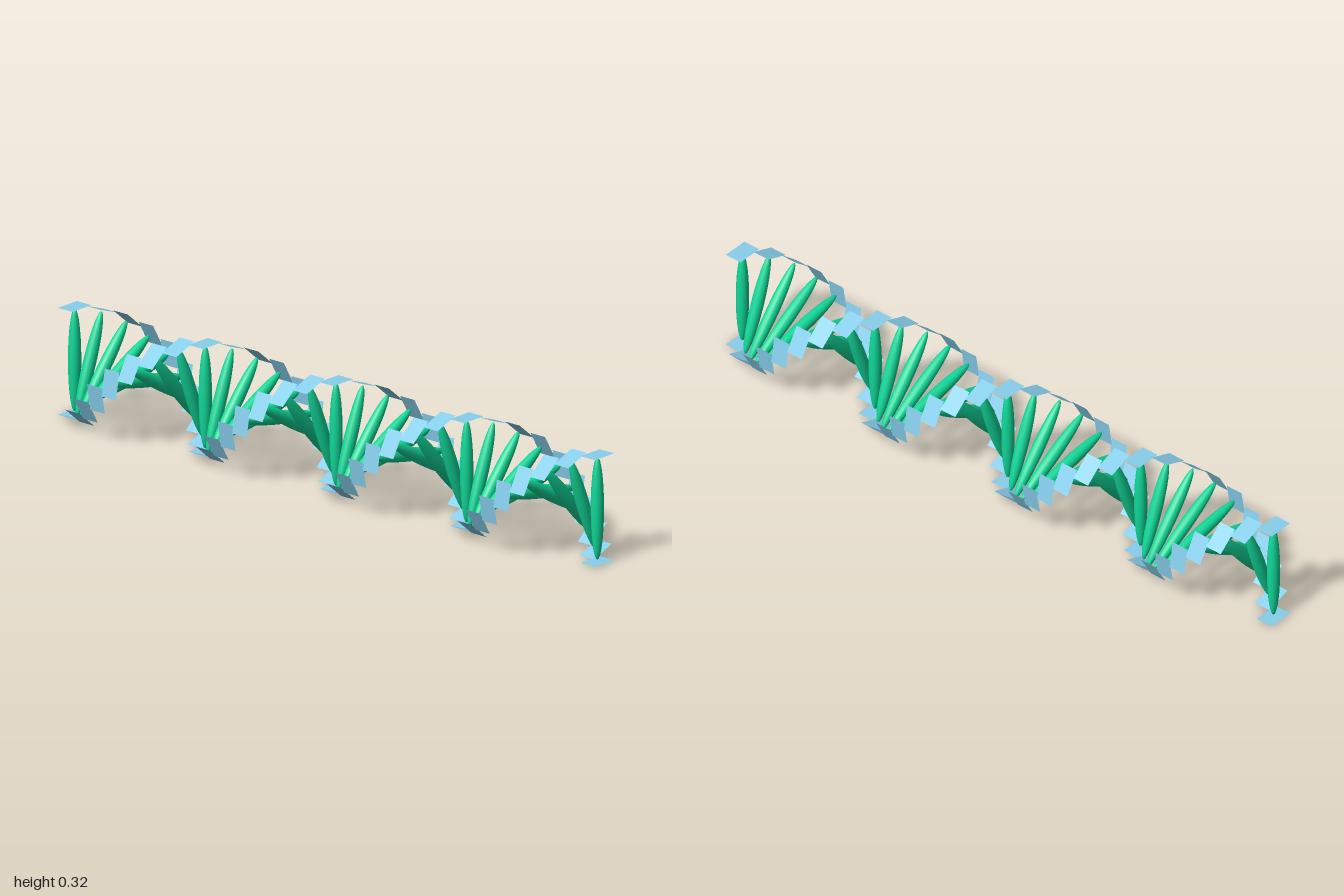
import * as THREE from 'three';

const RUNGS = 37;
const STEP = 2 / RUNGS;            // spacing along the axis
const TWIST = Math.PI / 9;         // 20 degrees per rung
const RADIUS = 0.157;              // axis to backbone plate
const PLATE = 0.08;
const AXIS_Y = RADIUS * Math.cos(TWIST) + (PLATE / 2) * Math.sin(TWIST);

export function createModel() {
  const helix = new THREE.Group();
  helix.name = 'doubleHelix';

  const green = new THREE.MeshStandardMaterial({ color: 0x10d898 });
  const blue = new THREE.MeshStandardMaterial({ color: 0x87ceeb, side: THREE.DoubleSide });

  // slim ellipsoid rung, long axis along y
  const rungGeo = new THREE.SphereGeometry(1, 16, 14).scale(0.0196, 0.1515, 0.018);
  // thin backbone plate lying flat, facing outward
  const plateGeo = new THREE.PlaneGeometry(PLATE, STEP).rotateX(-Math.PI / 2);

  for (let i = 0; i < RUNGS; i++) {
    const pair = new THREE.Group();
    pair.name = `basePair${i + 1}`;
    pair.position.set(0, AXIS_Y, 1 - STEP * (i + 0.5));
    pair.rotation.z = i * TWIST;

    const rung = new THREE.Mesh(rungGeo, green);
    rung.name = 'rung';
    pair.add(rung);

    // one plate at each end of the rung
    for (const side of [1, -1]) {
      const plate = new THREE.Mesh(plateGeo, blue);
      plate.name = side > 0 ? 'backbonePlateA' : 'backbonePlateB';
      plate.position.y = side * RADIUS;
      if (side < 0) plate.rotation.z = Math.PI;
      pair.add(plate);
    }
    helix.add(pair);
  }
  return helix;
}
